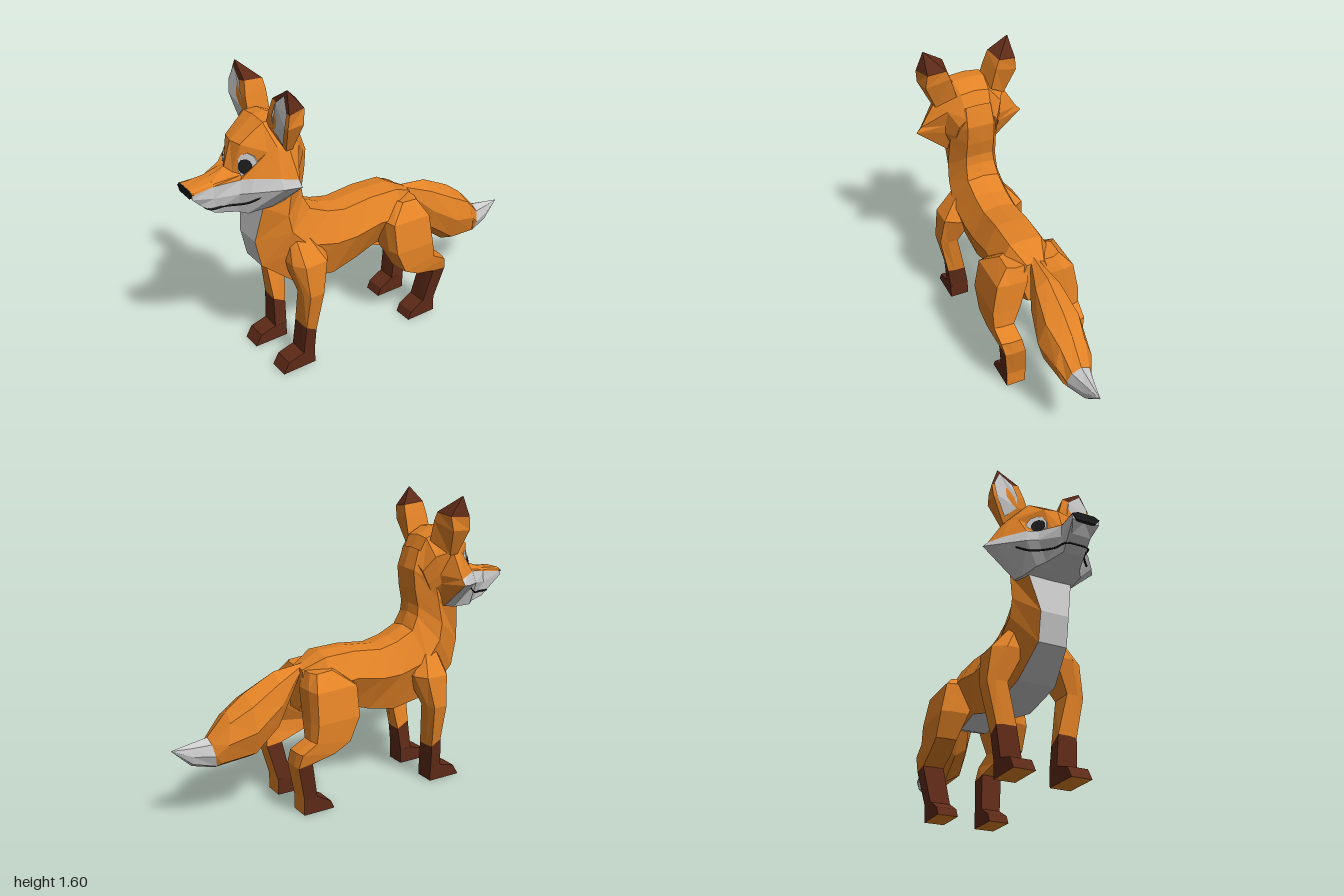
import * as THREE from 'three';

const ORANGE = 0xe28226, GREY = 0xcccccc, BROWN = 0x5e2a17, BLACK = 0x1c1c1c;
const V = (x, y, z) => new THREE.Vector3(x, y, z);
const material = (color) => new THREE.MeshStandardMaterial({ color, flatShading: true, side: THREE.DoubleSide });

function mesh(name, geometry, color) {
  const m = new THREE.Mesh(geometry, material(color));
  m.name = name;
  return m;
}

// Skin a row of cross-sections; paint(ring, column) picks the colour, ring -1 and last are the end caps
function loft(name, rings, paint = () => ORANGE) {
  const tris = [], n = rings[0].length, last = rings.length - 1;
  const add = (c, a, b, d) => tris.push({ c, p: [a, b, d] });
  for (let i = 0; i < last; i++) {
    for (let j = 0; j < n; j++) {
      const k = (j + 1) % n, A = rings[i], B = rings[i + 1], c = paint(i, j);
      add(c, A[j], A[k], B[k]);
      add(c, A[j], B[k], B[j]);
    }
  }
  for (const [i, c] of [[0, paint(-1, 0)], [last, paint(last, 0)]]) {
    const mid = V(0, 0, 0);
    rings[i].forEach((p) => mid.addScaledVector(p, 1 / n));
    for (let j = 0; j < n; j++) {
      const a = rings[i][j], b = rings[i][(j + 1) % n];
      i === 0 ? add(c, mid, b, a) : add(c, mid, a, b);
    }
  }
  // Turn every face outward whichever way the rings run
  const o = rings[0][0];
  let volume = 0;
  for (const { p } of tris) {
    const [a, b, c] = p.map((q) => q.clone().sub(o));
    volume += a.dot(b.cross(c));
  }
  const group = new THREE.Group();
  group.name = name;
  for (const color of new Set(tris.map((t) => t.c))) {
    const pts = tris.filter((t) => t.c === color).flatMap(({ p }) => (volume < 0 ? [p[0], p[2], p[1]] : p));
    const g = new THREE.BufferGeometry().setFromPoints(pts);
    g.computeVertexNormals();
    group.add(mesh(name + 'Skin', g, color));
  }
  return group;
}

// Cross-section of the trunk: top and bottom points, half width, half width of the belly
const trunkRing = ([tz, ty, bz, by, w, bw]) =>
  [[0, 1], [0.55 * w, 0.96], [w, 0.55], [bw, 0], [-bw, 0], [-w, 0.55], [-0.55 * w, 0.96]]
    .map(([x, v]) => V(x, by + (ty - by) * v, bz + (tz - bz) * v));

function makeTrunk() {
  const rings = [
    [-0.29, 0.75, -0.31, 0.52, 0.09, 0.05], [-0.17, 0.815, -0.2, 0.48, 0.165, 0.075],
    [0, 0.82, -0.04, 0.51, 0.165, 0.08], [0.17, 0.805, 0.1, 0.465, 0.165, 0.085],
    [0.27, 0.83, 0.25, 0.44, 0.165, 0.1], [0.37, 0.88, 0.5, 0.485, 0.165, 0.1],
    [0.4, 0.95, 0.66, 0.62, 0.15, 0.075], [0.405, 1.0, 0.69, 0.77, 0.145, 0.075],
    [0.385, 1.09, 0.655, 0.97, 0.14, 0.115], [0.375, 1.2, 0.62, 1.03, 0.14, 0.1],
    [0.41, 1.31, 0.6, 1.1, 0.13, 0.1],
  ].map(trunkRing);
  return loft('trunk', rings, (i, j) => (j === 3 && i >= 0 ? GREY : ORANGE));
}

function makeTail() {
  const rings = [
    [-0.25, 0.765, -0.27, 0.73, 0.015], [-0.43, 0.745, -0.44, 0.42, 0.095],
    [-0.6, 0.66, -0.58, 0.31, 0.13], [-0.7, 0.585, -0.77, 0.295, 0.1],
    [-0.81, 0.465, -0.78, 0.295, 0.07], [-0.9, 0.45, -0.9, 0.33, 0.035], [-1, 0.432, -1, 0.428, 0.002],
  ].map(([tz, ty, bz, by, w]) => Array.from({ length: 8 }, (_, k) => {
    const a = (k * Math.PI) / 4, v = (1 + Math.cos(a)) / 2;
    return V(w * Math.sin(a), by + (ty - by) * v, bz + (tz - bz) * v);
  }));
  return loft('tail', rings, (i) => (i >= 4 ? GREY : ORANGE));
}

// Half outlines from crown to chin; a third value moves a point off the ring's z
function makeHead() {
  const rings = [
    [0.4, [0, 1.25], [0.07, 1.24], [0.11, 1.19, 0.42], [0.12, 1.12, 0.45], [0.12, 1.08, 0.47], [0.1, 1.02, 0.51], [0, 1.02, 0.52]],
    [0.46, [0, 1.37], [0.08, 1.36], [0.155, 1.27, 0.47], [0.16, 1.17, 0.5], [0.16, 1.12, 0.51], [0.12, 1.02, 0.53], [0, 1.0, 0.54]],
    [0.55, [0, 1.41], [0.09, 1.4], [0.2, 1.3], [0.285, 1.163], [0.312, 1.135], [0.14, 0.99], [0, 0.985]],
    [0.62, [0, 1.41], [0.09, 1.4], [0.185, 1.3, 0.6], [0.24, 1.168], [0.265, 1.12], [0.135, 0.975], [0, 0.97]],
    [0.74, [0, 1.31, 0.75], [0.07, 1.31, 0.735], [0.16, 1.28, 0.64], [0.16, 1.166, 0.72], [0.17, 1.1], [0.12, 0.97], [0, 0.965]],
    [0.78, [0, 1.185, 0.79], [0.045, 1.17, 0.77], [0.085, 1.163, 0.74], [0.115, 1.155, 0.765], [0.13, 1.09], [0.09, 0.98], [0, 0.975]],
    [0.88, [0, 1.155], [0.045, 1.15], [0.055, 1.14], [0.06, 1.13], [0.065, 1.07], [0.055, 0.99], [0, 0.99]],
    [0.995, [0, 1.14], [0.045, 1.14], [0.07, 1.132], [0.072, 1.122], [0.07, 1.1], [0.05, 1.05, 0.95], [0, 1.05, 0.95]],
  ].map(([z, ...half]) => [
    ...half.map(([x, y, pz = z]) => V(x, y, pz)),
    ...half.slice(1, -1).reverse().map(([x, y, pz = z]) => V(-x, y, pz)),
  ]);
  return loft('head', rings, (i, j) => (i === 7 || (i >= 2 && j >= 3 && j <= 8) ? GREY : ORANGE));
}

function makeNose() {
  const shape = new THREE.Shape([[0.045, 1.139], [-0.045, 1.139], [-0.072, 1.125], [-0.05, 1.098], [0.05, 1.098], [0.072, 1.125]]
    .map(([x, y]) => new THREE.Vector2(x, y)));
  const g = new THREE.ExtrudeGeometry(shape, { depth: 0.015, bevelEnabled: false });
  return mesh('nose', g.translate(0, 0, 0.985), BLACK);
}

function makeMouth() {
  const half = [[0.197, 1.088, 0.68], [0.153, 1.045, 0.745], [0.081, 1.025, 0.84], [0.06, 1.02, 0.91]];
  const pts = [...half, [0, 1.02, 0.918], ...half.map(([x, y, z]) => [-x, y, z]).reverse()].map((p) => V(...p));
  return mesh('mouth', new THREE.TubeGeometry(new THREE.CatmullRomCurve3(pts), 32, 0.005, 4), BLACK);
}

function makeEye(s) {
  const eye = new THREE.Group();
  eye.name = s > 0 ? 'leftEye' : 'rightEye';
  const disc = (name, rx, ry, depth, color) => {
    const g = new THREE.CylinderGeometry(1, 1, depth, 10).rotateX(Math.PI / 2).scale(rx, ry, 1);
    eye.add(mesh(name, g, color));
    return eye.children.at(-1);
  };
  disc('eyeWhite', 0.053, 0.06, 0.024, GREY);
  disc('pupil', 0.036, 0.037, 0.028, BLACK).position.set(-0.01 * s, -0.006, 0.001);
  eye.position.set(0.1 * s, 1.21, 0.714);
  eye.lookAt(0.1 * s + 0.65 * s, 1.21 + 0.2, 0.714 + 0.74);
  return eye;
}

function makeEar(s) {
  const rings = [
    [[0.08, 1.37, 0.6], [0.21, 1.285, 0.57], [0.2, 1.28, 0.53], [0.1, 1.35, 0.47]],
    [[0.105, 1.45, 0.597], [0.275, 1.42, 0.595], [0.26, 1.42, 0.5], [0.13, 1.46, 0.47]],
    [[0.13, 1.525, 0.585], [0.28, 1.49, 0.587], [0.25, 1.495, 0.49], [0.15, 1.51, 0.475]],
    [[0.239, 1.595, 0.572], [0.241, 1.594, 0.572], [0.241, 1.594, 0.568], [0.239, 1.595, 0.568]],
  ].map((r) => r.map(([x, y, z]) => V(s * x, y, z)));
  const ear = loft(s > 0 ? 'leftEar' : 'rightEar', rings, (i) => (i >= 2 ? BROWN : ORANGE));
  // Pale inner panel following the slope of the ear front
  const shape = new THREE.Shape([[0.235, 1.572], [0.27, 1.495], [0.262, 1.425], [0.21, 1.315], [0.145, 1.38], [0.145, 1.45], [0.165, 1.515]]
    .map(([x, y]) => new THREE.Vector2(s * x, y)));
  const g = new THREE.ShapeGeometry(shape), p = g.attributes.position;
  for (let i = 0; i < p.count; i++) p.setZ(i, 0.604 - Math.abs(p.getY(i) - 1.43) * 0.15);
  g.computeVertexNormals();
  ear.add(mesh('innerEar', g, GREY));
  return ear;
}

// Leg cross-section: front and back points, inner and outer x, rounding of the outer side
const legRing = (s) => ([zf, yf, zb, yb, x0, x1, c]) => {
  const xm = x0 + 0.6 * (x1 - x0);
  return [[x0, 0], [xm, 0], [x1, c], [x1, 1 - c], [xm, 1], [x0, 1]]
    .map(([x, t]) => V(s * x, yf + (yb - yf) * t, zf + (zb - zf) * t));
};

function makeLeg(name, s, sections, dark, foot, fx, backColor) {
  const leg = new THREE.Group();
  leg.name = (s > 0 ? 'left' : 'right') + name;
  leg.add(loft('leg', sections.map(legRing(s)),
    (i, j) => (i >= dark && !(j === 3 || j === 4) ? BROWN : i >= dark ? backColor : ORANGE)));
  const rings = fx.map((x) => foot.map(([z, y]) => V(s * x, y, z)));
  leg.add(loft('paw', rings, (i, j) => (i !== 0 ? BROWN : j === 0 ? ORANGE : j === 4 ? backColor : BROWN)));
  return leg;
}

const frontSections = [
  [0.52, 0.74, 0.4, 0.74, 0.07, 0.15, 0.2], [0.545, 0.63, 0.335, 0.63, 0.08, 0.24, 0.2],
  [0.51, 0.46, 0.395, 0.46, 0.16, 0.26, 0.15], [0.5, 0.25, 0.43, 0.21, 0.11, 0.213, 0.08],
  [0.51, 0.08, 0.44, 0.08, 0.09, 0.2, 0.02],
];
const frontPaw = [[0.44, 0], [0.635, 0], [0.6, 0.06], [0.51, 0.085], [0.44, 0.085]];
const hindSections = [
  [-0.15, 0.75, -0.28, 0.74, 0.05, 0.15, 0.15], [-0.05, 0.67, -0.31, 0.66, 0.05, 0.22, 0.05],
  [-0.05, 0.51, -0.32, 0.5, 0.1, 0.25, 0.05], [-0.11, 0.38, -0.33, 0.41, 0.14, 0.25, 0.05],
  [-0.2, 0.33, -0.41, 0.36, 0.13, 0.245, 0.05], [-0.33, 0.295, -0.42, 0.285, 0.115, 0.23, 0.05],
  [-0.29, 0.085, -0.37, 0.085, 0.09, 0.2, 0.02],
];
const hindPaw = [[-0.37, 0], [-0.19, 0], [-0.21, 0.045], [-0.29, 0.09], [-0.37, 0.09]];

export function createModel() {
  const model = new THREE.Group();
  model.name = 'fox';
  model.add(makeTrunk(), makeTail(), makeHead(), makeNose(), makeMouth());
  for (const s of [1, -1]) {
    model.add(makeEye(s), makeEar(s));
    model.add(makeLeg('FrontLeg', s, frontSections, 3, frontPaw, [0.09, 0.2], BROWN));
    model.add(makeLeg('HindLeg', s, hindSections, 5, hindPaw, [0.09, 0.2], ORANGE));
  }
  return model;
}
